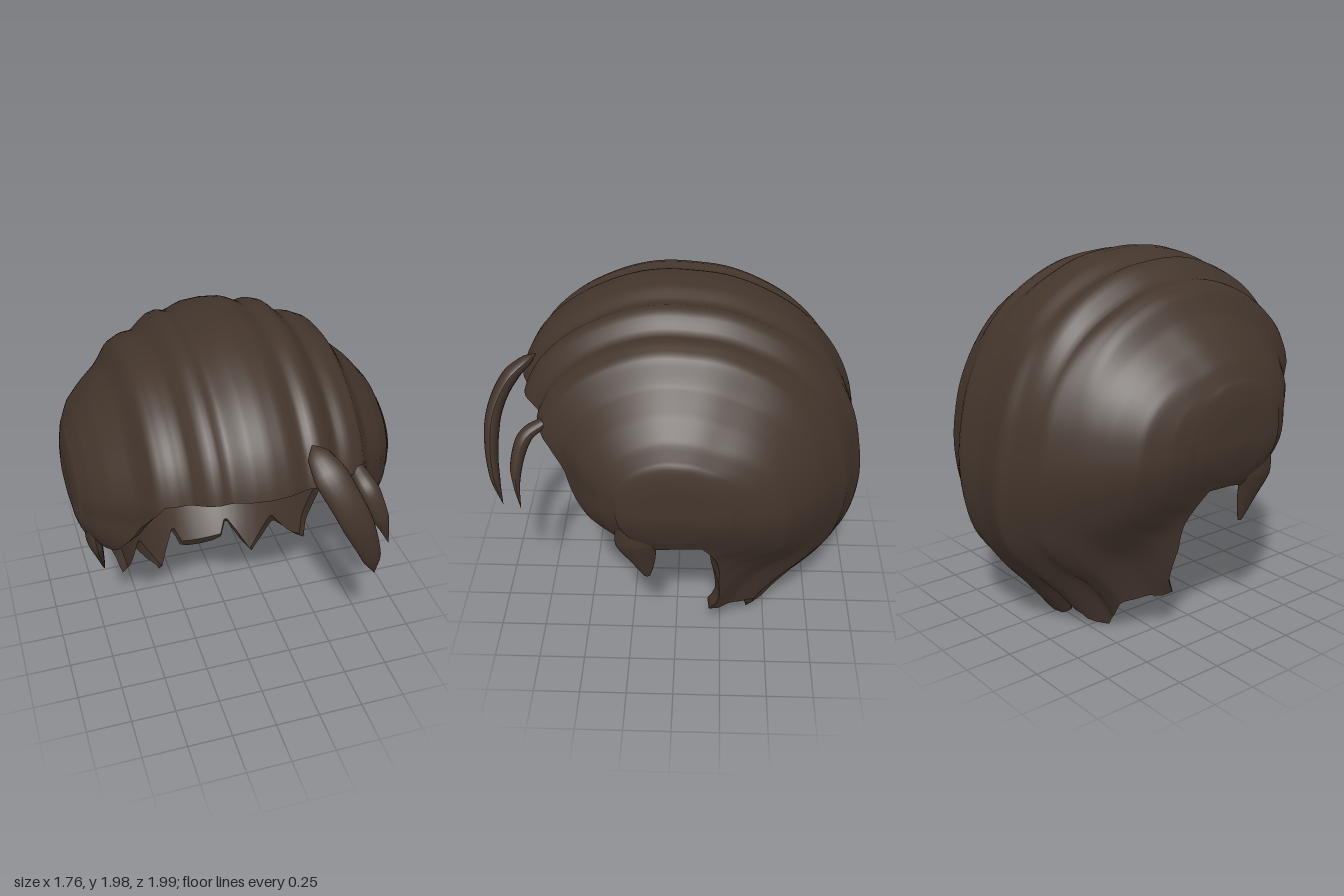
import * as THREE from 'three';

const CY = 1.1;      // height of the axis the hair wraps around
const HALF = 0.88;   // half width at the sides
const rad = THREE.MathUtils.degToRad;
const { lerp, smoothstep } = THREE.MathUtils;

// Linear lookup in a short list of [key, value] pairs
function lookup(list, k) {
  if (k <= list[0][0]) return list[0][1];
  for (let i = 1; i < list.length; i++) {
    const [k0, v0] = list[i - 1], [k1, v1] = list[i];
    if (k <= k1) return v0 + (v1 - v0) * (k - k0) / (k1 - k0);
  }
  return list[list.length - 1][1];
}

// Radius of the middle section by angle (0 front, 90 top, 180 back)
const PROFILE = [[-90, 1.1], [-74, 0.85], [-34, 0.79], [-15, 0.81], [0, 0.82], [10, 0.83], [22, 0.9], [36, 0.915],
  [49, 0.905], [63, 0.89], [81, 0.885], [96, 0.875], [106, 0.886], [120, 0.895], [135, 0.915], [150, 0.928],
  [163, 0.943], [180, 0.975], [189, 1.01], [200, 1.055], [212, 1.1], [222, 1.12], [233, 1.14],
  [243, 1.21], [250, 1.34], [258, 1.49], [264, 1.3], [270, 1.1]];
// Section scale by distance from the middle: banded over the top, fuller behind
const BANDS = [[0, 1], [0.1, 0.99], [0.19, 0.94], [0.25, 0.957], [0.3, 0.94], [0.38, 0.85], [0.45, 0.85],
  [0.53, 0.81], [0.6, 0.68], [0.66, 0.62], [0.72, 0.56], [0.8, 0.45], [0.85, 0.335], [0.875, 0.18], [0.88, 0]];
const BEHIND = [[0, 0.985], [0.19, 1], [0.25, 0.965], [0.42, 0.9], [0.5, 0.84], [0.58, 0.78], [0.68, 0.69],
  [0.78, 0.58], [0.84, 0.43], [0.865, 0.28], [0.875, 0.18], [0.88, 0]];
// Angle of the front hairline and of the back hem by distance from the middle
const FRONT = [[0, 22], [0.2, 22.5], [0.4, 23], [0.5, 23], [0.55, 18], [0.6, 9], [0.64, 0], [0.68, -8], [0.72, -17],
  [0.76, -26], [0.8, -36], [0.83, -55], [0.863, -78], [0.865, -90], [0.88, -90]];
const BACK = [[0, 243], [0.16, 243], [0.215, 238], [0.36, 250], [0.53, 244], [0.6, 251], [0.67, 258], [0.7, 253],
  [0.78, 248], [0.82, 242], [0.853, 239], [0.863, 240], [0.865, 270], [0.88, 270]];

// Point on the hair; s runs right to left, v from hairline over the top to the hem,
// depth from 0 on the outside to 1 on the lining
function hairPoint(s, v, depth) {
  const x = HALF * Math.sin((s - 0.5) * Math.PI);
  const ax = Math.min(Math.abs(x), HALF);
  const t = lerp(lookup(FRONT, ax), lookup(BACK, ax), v);
  const section = (lookup(PROFILE, t - 3) + 2 * lookup(PROFILE, t) + lookup(PROFILE, t + 3)) / 4;
  const profile = lerp(section, 1.03, smoothstep(ax, 0.845, 0.867));
  const behind = smoothstep(t, 115, 170) * (1 - smoothstep(t, 205, 238));
  const outer = lerp(lookup(BANDS, ax), lookup(BEHIND, ax), behind);
  const lining = 0.93 * Math.pow(1 - Math.pow(ax / HALF, 2.2), 0.6);
  const r = profile * lerp(outer, lining, depth);
  const y = CY + r * Math.sin(rad(t));
  const taper = 1 - 0.13 * (1 - smoothstep(y, 0.62, 1.1));
  return new THREE.Vector3(x * taper * (1 - 0.06 * depth), Math.max(y, 0), r * Math.cos(rad(t)));
}

// Smooth surface from a rule over a grid
function surface(rule, nu, nv, flip = false) {
  const pos = [], idx = [];
  for (let i = 0; i <= nu; i++)
    for (let j = 0; j <= nv; j++) pos.push(...rule(i / nu, j / nv).toArray());
  for (let i = 0; i < nu; i++) {
    for (let j = 0; j < nv; j++) {
      const a = i * (nv + 1) + j, b = a + nv + 1;
      if (flip) idx.push(a, a + 1, b, b, a + 1, b + 1);
      else idx.push(a, b, a + 1, b, b + 1, a + 1);
    }
  }
  const g = new THREE.BufferGeometry();
  g.setAttribute('position', new THREE.Float32BufferAttribute(pos, 3));
  g.setIndex(idx);
  g.computeVertexNormals();
  return g;
}

// Tapered lock along a curve; wide is the direction of its broad side
function lock(points, wide, radii, flat) {
  const curve = new THREE.CatmullRomCurve3(points.map(p => new THREE.Vector3(...p)));
  const w = new THREE.Vector3(...wide).normalize();
  return surface((u, v) => {
    const t = curve.getTangent(u);
    const side = w.clone().addScaledVector(t, -w.dot(t)).normalize();
    const out = new THREE.Vector3().crossVectors(t, side);
    const r = lookup(radii, u), a = v * Math.PI * 2;
    return curve.getPoint(u)
      .addScaledVector(side, r * Math.cos(a))
      .addScaledVector(out, r * flat * Math.sin(a));
  }, 28, 16, true);
}

export function createModel() {
  const group = new THREE.Group();
  const brown = new THREE.MeshStandardMaterial({ color: 0x43352c, side: THREE.DoubleSide });
  brown.name = 'dark brown hair';
  const add = (name, geometry) => {
    const m = new THREE.Mesh(geometry, brown);
    m.name = name;
    group.add(m);
  };

  // Shell: outside, lining and the rims that join them
  add('outerHair', surface((s, v) => hairPoint(s, v, 0), 120, 72));
  add('innerHair', surface((s, v) => hairPoint(s, v, 1), 120, 72, true));
  add('frontRim', surface((s, v) => hairPoint(s, 0, 1 - v), 120, 1));
  add('backRim', surface((s, v) => hairPoint(s, 1, v), 120, 1));

  // Loose locks over the forehead
  add('largeForelock', lock(
    [[0.22, 1.64, 0.72], [0.27, 1.54, 0.85], [0.35, 1.38, 0.935], [0.43, 1.2, 0.955], [0.49, 1.04, 0.94], [0.53, 0.9, 0.905]],
    [1, 0.35, -0.1], [[0, 0], [0.06, 0.055], [0.2, 0.085], [0.5, 0.08], [0.8, 0.05], [1, 0]], 0.5));
  add('smallForelock', lock(
    [[0.49, 1.4, 0.66], [0.52, 1.34, 0.75], [0.57, 1.21, 0.8], [0.61, 1.1, 0.805], [0.655, 0.97, 0.785]],
    [1, 0.3, -0.1], [[0, 0.04], [0.3, 0.055], [0.6, 0.042], [1, 0]], 0.7));

  // Pointed locks in front of the ears
  for (const side of [-1, 1]) {
    add(side > 0 ? 'leftSideLock' : 'rightSideLock', lock(
      [[side * 0.795, 1.02, 0.2], [side * 0.785, 0.88, 0.19], [side * 0.76, 0.74, 0.16], [side * 0.737, 0.61, 0.14]],
      [0, 0, 1], [[0, 0.09], [0.35, 0.11], [0.85, 0.04], [1, 0.015]], 0.38));
  }
  return group;
}
